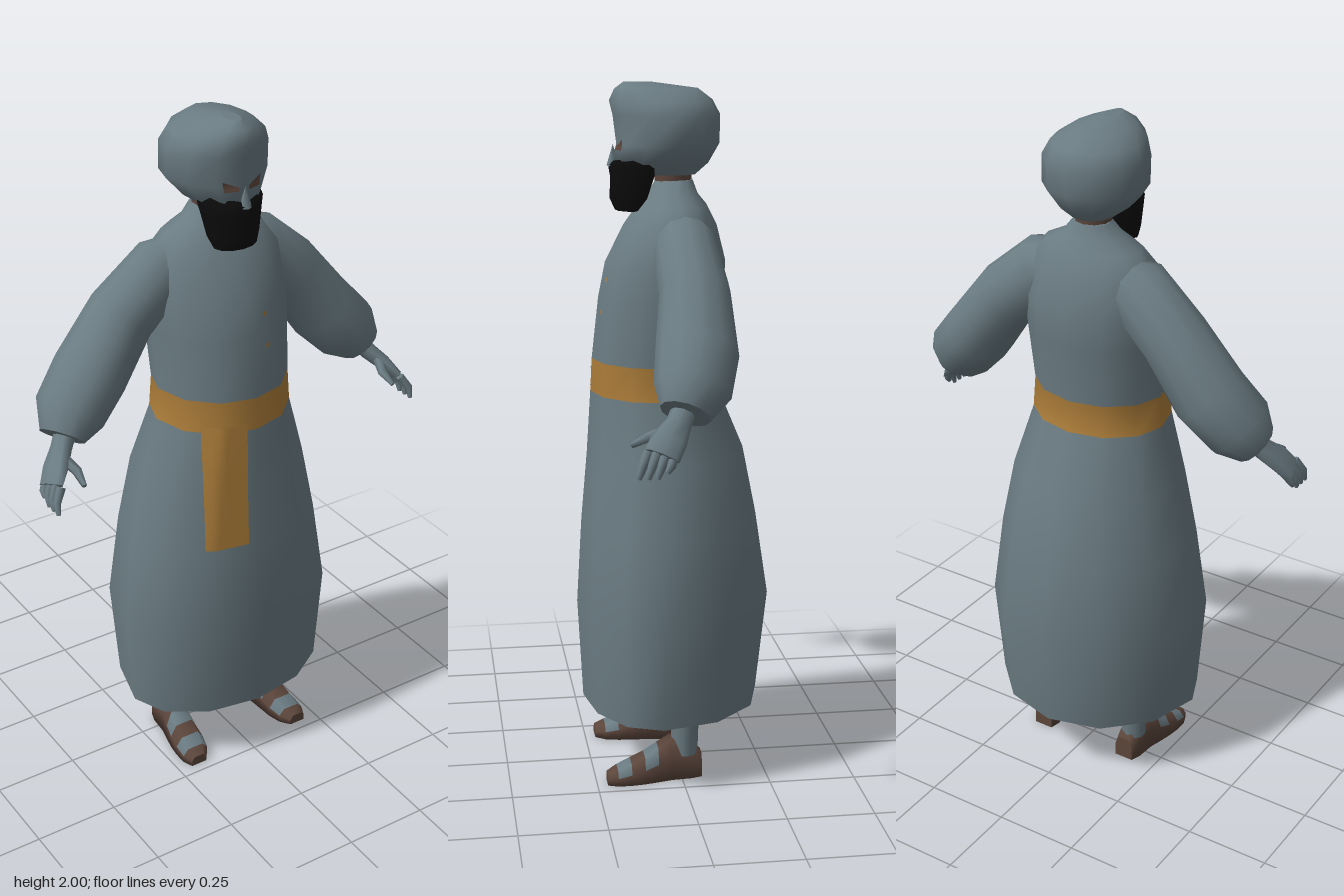
import * as THREE from 'three';

const paint = (name, color) => Object.assign(new THREE.MeshStandardMaterial({ color }), { name });
const slate = paint('slate cloth', 0x6a7b82);
const ochre = paint('ochre sash', 0xa87a38);
const brown = paint('brown leather', 0x5c463c);
const black = paint('black beard', 0x0b0b0b);

// Skin closed rings of points into a smooth capped solid; pick chooses a material per face
function loft(rings, pick = () => 0) {
  const pos = [], n = rings[0].length, faces = [];
  rings.forEach(r => r.forEach(p => pos.push(...p)));
  const add = (m, ...idx) => (faces[m] ||= []).push(...idx);
  for (let i = 0; i < rings.length - 1; i++) {
    for (let j = 0; j < n; j++) {
      const a = i * n + j, b = i * n + (j + 1) % n;
      add(pick(i, j), a, b, b + n, a, b + n, a + n);
    }
  }
  for (const end of [0, rings.length - 1]) {
    const base = pos.length / 3;
    rings[end].forEach(p => pos.push(...p));
    for (let j = 1; j < n - 1; j++) {
      if (end) add(pick(end - 1, 0), base, base + j, base + j + 1);
      else add(pick(0, 0), base, base + j + 1, base + j);
    }
  }
  const geo = new THREE.BufferGeometry();
  geo.setAttribute('position', new THREE.Float32BufferAttribute(pos, 3));
  const index = [];
  faces.forEach((f, m) => {
    geo.addGroup(index.length, f.length, m);
    index.push(...f);
  });
  geo.setIndex(index);
  geo.computeVertexNormals();
  return geo;
}

// Horizontal ring from [y, half width, front z, back z, z of widest point]
const SIDES = 12, STEP = Math.PI * 2 / SIDES;
const level = ([y, rx, zf, zb, zm]) => Array.from({ length: SIDES }, (_, j) => {
  const c = Math.cos(j * STEP);
  return [rx * Math.sin(j * STEP), y, zm + c * (c > 0 ? zf - zm : zm - zb)];
});

// Front surface depth of a stack of levels
function frontZ(rows, x, y) {
  let i = 0;
  while (i < rows.length - 2 && rows[i + 1][0] < y) i++;
  const t = (y - rows[i][0]) / (rows[i + 1][0] - rows[i][0]);
  const [, rx, zf, , zm] = rows[i].map((v, k) => v + (rows[i + 1][k] - v) * t);
  const s = Math.min(Math.abs(x) / rx, 0.999);
  const k = Math.floor(Math.asin(s) / STEP), s0 = Math.sin(k * STEP), s1 = Math.sin((k + 1) * STEP);
  const c = Math.cos(k * STEP) + (Math.cos((k + 1) * STEP) - Math.cos(k * STEP)) * (s - s0) / (s1 - s0);
  return zm + c * (zf - zm);
}

// Thin painted panel lying on the front surface; corners are bl, br, tr, tl
function patch(rows, [bl, br, tr, tl], nx = 3, ny = 3) {
  const geo = new THREE.PlaneGeometry(1, 1, nx, ny), p = geo.attributes.position;
  for (let i = 0; i < p.count; i++) {
    const u = p.getX(i) + 0.5, v = p.getY(i) + 0.5;
    const mix = k => (bl[k] * (1 - u) + br[k] * u) * (1 - v) + (tl[k] * (1 - u) + tr[k] * u) * v;
    p.setXYZ(i, mix(0), mix(1), frontZ(rows, mix(0), mix(1)) + 0.006);
  }
  geo.computeVertexNormals();
  return geo;
}

// Limb along stations [x, y, z, half depth, half thickness]
function limb(stations, sides = 10) {
  const pts = stations.map(s => new THREE.Vector3(s[0], s[1], s[2]));
  return loft(stations.map((s, i) => {
    const d = pts[Math.min(i + 1, pts.length - 1)].clone().sub(pts[Math.max(i - 1, 0)]).normalize();
    const u = new THREE.Vector3(0, 0, 1).addScaledVector(d, -d.z).normalize();
    const v = d.clone().cross(u);
    return Array.from({ length: sides }, (_, j) => {
      const a = j / sides * Math.PI * 2;
      return pts[i].clone().addScaledVector(u, Math.cos(a) * s[3]).addScaledVector(v, Math.sin(a) * s[4]).toArray();
    });
  }));
}

function mirrored(geo) {
  const g = geo.clone().scale(-1, 1, 1), ix = g.index.array;
  for (let i = 0; i < ix.length; i += 3) [ix[i], ix[i + 1]] = [ix[i + 1], ix[i]];
  return g;
}

export function createModel() {
  const model = new THREE.Group();
  model.name = 'robedFigure';
  const add = (name, geo, mat) => {
    const mesh = new THREE.Mesh(geo, mat);
    mesh.name = name;
    model.add(mesh);
  };
  const pair = (name, geo, mat) => {
    add(name + 'Left', geo, mat);
    add(name + 'Right', mirrored(geo), mat);
  };

  // Robe with the sash band at the waist
  const robe = [
    [0.205, 0.315, 0.27, -0.25, 0.07], [0.5, 0.337, 0.285, -0.283, 0.07],
    [0.75, 0.3, 0.27, -0.245, 0.05], [0.95, 0.258, 0.252, -0.205, 0.04],
    [1.13, 0.205, 0.24, -0.13, 0.04], [1.225, 0.198, 0.235, -0.125, 0.04],
    [1.4, 0.207, 0.215, -0.147, 0.02], [1.5, 0.21, 0.195, -0.15, 0],
    [1.6, 0.2, 0.145, -0.125, 0], [1.66, 0.15, 0.1, -0.095, 0],
    [1.69, 0.09, 0.075, -0.07, 0], [1.73, 0.055, 0.05, -0.055, -0.01],
  ];
  add('robeAndSash', loft(robe.map(level), i => (i === 4 ? 1 : 0)), [slate, ochre]);
  add('sashTail', patch(robe, [[-0.165, 0.775], [-0.04, 0.775], [-0.03, 1.15], [-0.145, 1.15]], 6, 8), ochre);
  for (const y of [1.36, 1.45]) {
    add('button', patch(robe, [[0.045, y], [0.055, y], [0.055, y + 0.012], [0.045, y + 0.012]], 1, 1), ochre);
  }

  // Neck, beard, and head wrapped in a turban
  add('neck', new THREE.CylinderGeometry(0.055, 0.05, 0.12, 10).translate(0, 1.73, 0), brown);
  add('beard', loft([
    [1.647, 0.065, 0.165, 0.1, 0.12], [1.68, 0.076, 0.18, 0.075, 0.1],
    [1.74, 0.088, 0.178, 0.055, 0.09], [1.775, 0.094, 0.184, 0.04, 0.08],
    [1.795, 0.09, 0.16, 0.04, 0.08],
  ].map(level)), black);
  const turban = [
    [1.745, 0.06, 0.09, -0.065, 0], [1.775, 0.1, 0.175, -0.1, 0.02],
    [1.83, 0.147, 0.16, -0.132, 0.01], [1.91, 0.145, 0.17, -0.133, 0.01],
    [1.95, 0.125, 0.18, -0.112, 0.02], [1.982, 0.08, 0.165, -0.07, 0.05],
    [2.0, 0.02, 0.14, 0.06, 0.1],
  ];
  add('turban', loft(turban.map(level)), slate);
  add('nose', new THREE.ConeGeometry(0.018, 0.06, 6).translate(0, 1.8, 0.17), slate);
  add('eyeLeft', patch(turban, [[0.015, 1.815], [0.055, 1.815], [0.06, 1.845], [0.015, 1.825]]), brown);
  add('eyeRight', patch(turban, [[-0.055, 1.815], [-0.015, 1.815], [-0.015, 1.825], [-0.06, 1.845]]), brown);

  // Full sleeves gathered at the cuff
  pair('sleeve', limb([
    [0.06, 1.58, -0.01, 0.07, 0.07], [0.15, 1.555, -0.01, 0.09, 0.1],
    [0.275, 1.45, -0.02, 0.098, 0.098], [0.385, 1.305, -0.01, 0.113, 0.105],
    [0.465, 1.22, 0.015, 0.105, 0.1], [0.505, 1.168, 0.04, 0.07, 0.062],
  ], 12), slate);

  // Hands with four fingers and a thumb
  pair('palm', limb([
    [0.48, 1.2, 0.03, 0.032, 0.03], [0.52, 1.145, 0.06, 0.035, 0.025],
    [0.555, 1.11, 0.09, 0.048, 0.022], [0.582, 1.075, 0.112, 0.048, 0.016],
  ], 8), slate);
  for (let f = 0; f < 4; f++) {
    const z = 0.075 + f * 0.025, drop = f === 0 ? 0.015 : 0;
    pair('finger', limb([
      [0.572, 1.085, z, 0.013, 0.013], [0.595, 1.05, z + 0.015, 0.012, 0.011],
      [0.596, 1.018 + drop, z + 0.025, 0.007, 0.006],
    ], 6), slate);
  }
  pair('thumb', limb([
    [0.53, 1.135, 0.09, 0.016, 0.016], [0.515, 1.11, 0.14, 0.014, 0.014],
    [0.52, 1.09, 0.185, 0.007, 0.007],
  ], 6), slate);

  // Legs and sandals with open gaps between the straps
  pair('leg', new THREE.CylinderGeometry(0.045, 0.038, 0.2, 10).translate(0.155, 0.17, -0.012), slate);
  const foot = [
    [-0.06, 0.15, 0.03, 0.07], [-0.03, 0.152, 0.038, 0.1], [0.03, 0.155, 0.04, 0.12],
    [0.07, 0.162, 0.043, 0.098], [0.11, 0.168, 0.046, 0.075], [0.15, 0.172, 0.047, 0.058],
    [0.19, 0.177, 0.042, 0.042], [0.22, 0.182, 0.025, 0.03],
  ].map(([z, x, w, t]) => [
    [x + w, 0, z], [x + w, t * 0.55, z], [x + w * 0.6, t, z],
    [x - w * 0.6, t, z], [x - w, t * 0.55, z], [x - w, 0, z],
  ]);
  pair('sandal', loft(foot, (i, j) => ((i === 3 || i === 5) && j > 0 && j < 4 ? 1 : 0)), [brown, slate]);

  return model;
}
